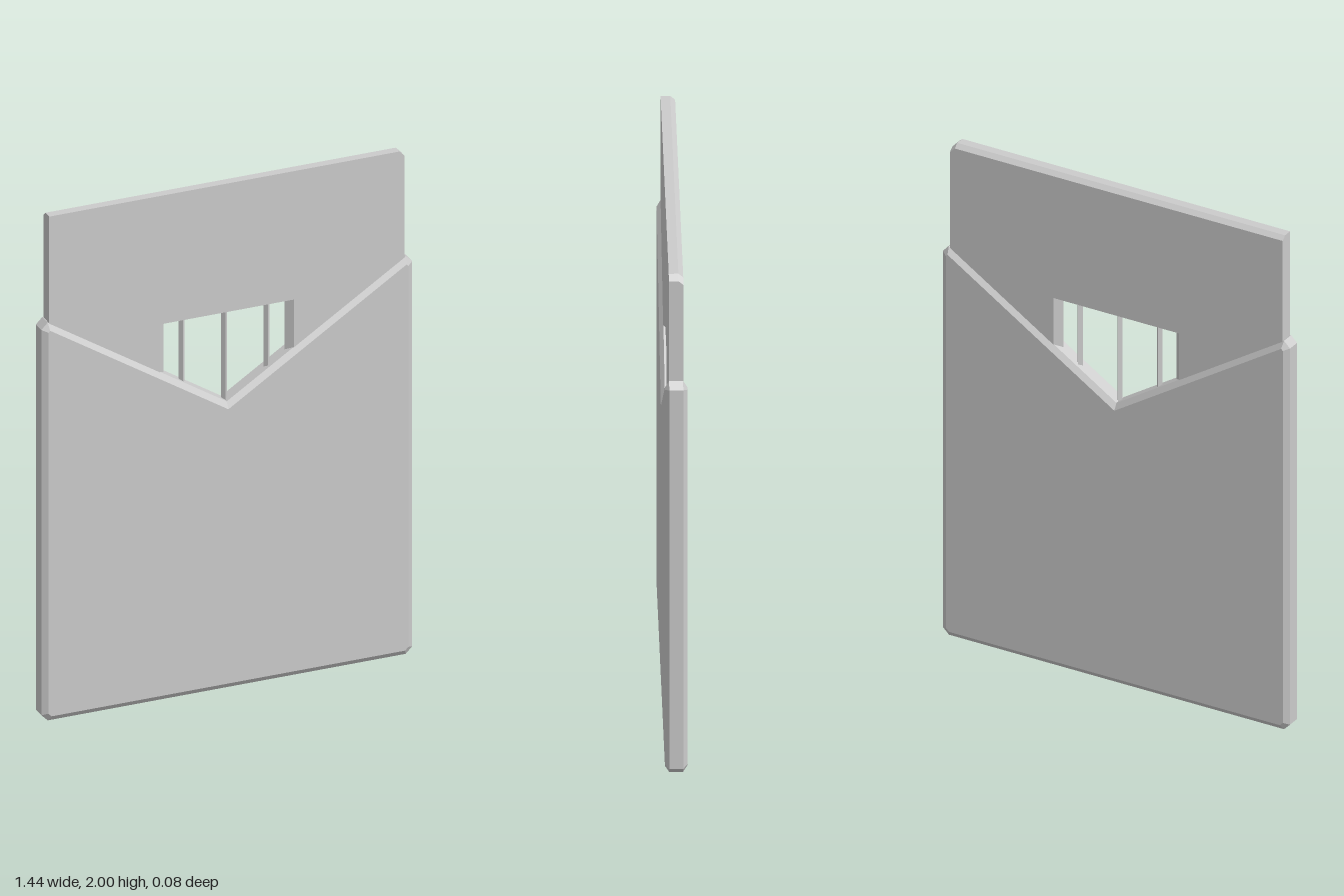
import * as THREE from 'three';

const material = new THREE.MeshStandardMaterial({ color: 0xcccccc, flatShading: true });

const shapeFrom = (points) => new THREE.Shape(points.map(([x, y]) => new THREE.Vector2(x, y)));

export function createModel() {
  const model = new THREE.Group();
  const add = (name, geometry, x = 0, y = 0, z = 0) => {
    const mesh = new THREE.Mesh(geometry, material);
    mesh.name = name;
    mesh.position.set(x, y, z);
    model.add(mesh);
    return mesh;
  };

  // Lower panel: V-notched slab, chamfered on both faces and at the corners
  const bevel = 0.021;
  const lower = new THREE.ExtrudeGeometry(shapeFrom([
    [-0.695, 0], [0.695, 0], [0.72, 0.025], [0.72, 1.555], [0.695, 1.58],
    [0, 1.135],
    [-0.695, 1.58], [-0.72, 1.555], [-0.72, 0.025],
  ]), {
    depth: 0.05, bevelEnabled: true, bevelSegments: 1,
    bevelSize: bevel, bevelOffset: -bevel, bevelThickness: 0.015,
  });
  add('lowerPanel', lower, 0, 0, -0.025);

  // Upper panel: thinner slab rising from the notch, with a window opening
  const upperShape = shapeFrom([
    [-0.69, 1.5], [0, 1.03], [0.69, 1.5], [0.69, 1.98], [0.67, 2], [-0.69, 2],
  ]);
  const opening = [[-0.26, 1.26], [-0.26, 1.49], [0.26, 1.49], [0.26, 1.26], [0, 1.09]];
  upperShape.holes.push(new THREE.Path(opening.map(([x, y]) => new THREE.Vector2(x, y))));
  const upper = new THREE.ExtrudeGeometry(upperShape, { depth: 0.052, steps: 3, bevelEnabled: false });
  upper.translate(0, 0, -0.026);

  // Chamfer along the top of the back face
  const p = upper.attributes.position;
  for (let i = 0; i < p.count; i++) {
    if (p.getZ(i) < -0.02 && p.getY(i) > 1.97) p.setY(i, p.getY(i) - 0.015);
  }
  upper.computeVertexNormals();
  add('upperPanel', upper);

  // Splayed window jambs and slim vertical bars, all four-sided prisms
  const prism = (name, x, halfWidth, halfDepth, bottom) => {
    const height = 1.495 - bottom;
    const geometry = new THREE.CylinderGeometry(1, 1, height, 4);
    geometry.scale(halfWidth, 1, halfDepth);
    add(name, geometry, x, bottom + height / 2, 0);
  };
  for (const side of [-1, 1]) {
    prism('windowJamb', side * 0.26, 0.025, 0.026, 1.25);
    prism('windowBar', side * 0.165, 0.012, 0.014, 1.2);
  }
  prism('windowBar', 0, 0.011, 0.014, 1.1);

  return model;
}
